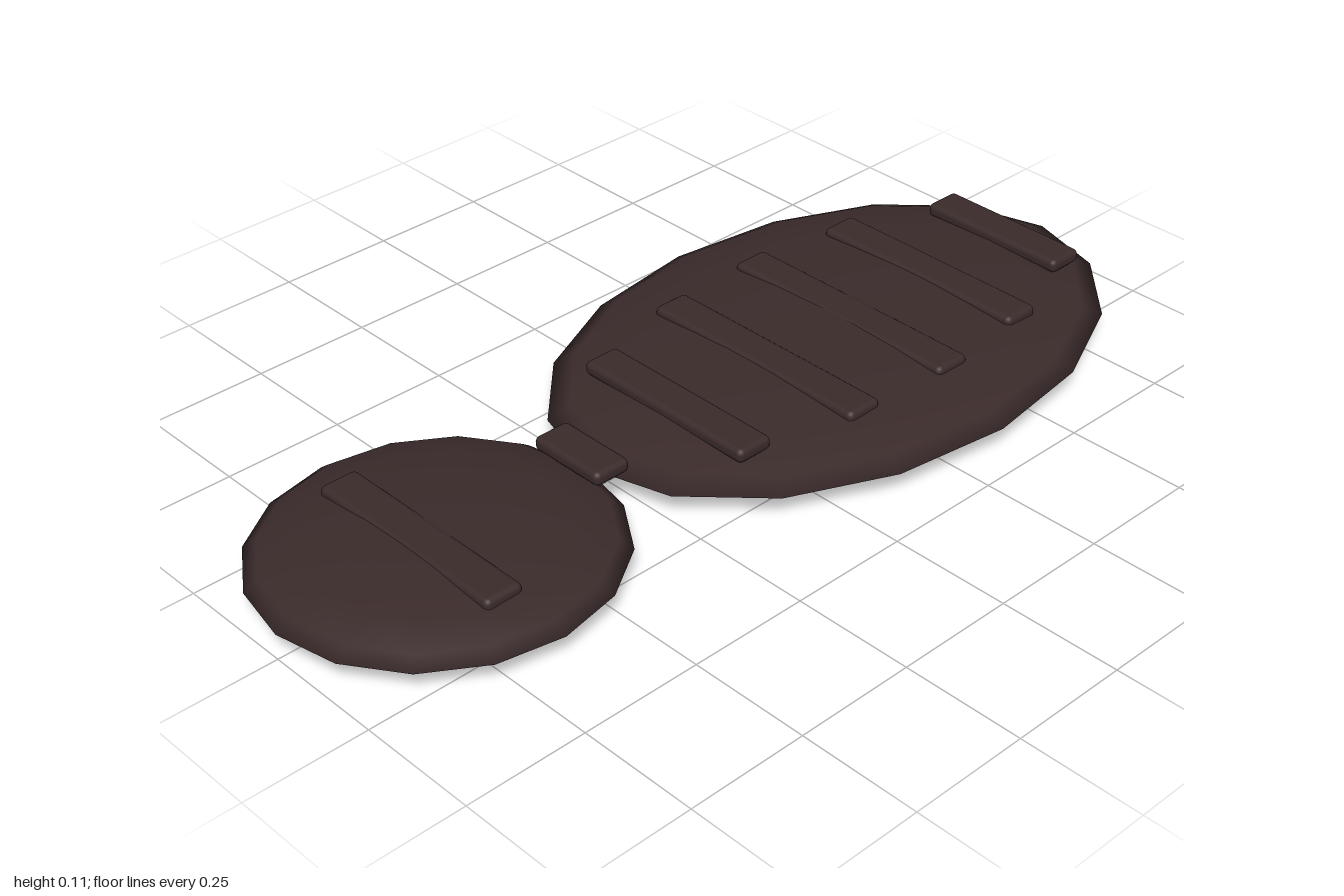
import * as THREE from 'three';
import { RoundedBoxGeometry } from 'three/addons/geometries/RoundedBoxGeometry.js';

export function createModel() {
  const model = new THREE.Group();
  model.name = 'shoeSole';

  const rubber = new THREE.MeshStandardMaterial({ color: 0x3b2b2b });
  rubber.name = 'darkBrownRubber';

  const midY = 0.0525;

  // Flattened pads: [name, z centre, x radius, z radius]
  const pads = [
    ['forefootPad', -0.351, 0.445, 0.649],
    ['heelPad', 0.65, 0.342, 0.349],
  ];
  for (const [name, z, rx, rz] of pads) {
    const geometry = new THREE.SphereGeometry(1, 16, 8).scale(rx, 0.0525, rz);
    const pad = new THREE.Mesh(geometry, rubber);
    pad.name = name;
    pad.position.set(0, midY, z);
    model.add(pad);
  }

  // Raised tread bars: [name, z centre, width]
  const bars = [
    ['treadBar1', -0.865, 0.346],
    ['treadBar2', -0.63, 0.506],
    ['treadBar3', -0.395, 0.56],
    ['treadBar4', -0.16, 0.538],
    ['treadBar5', 0.075, 0.43],
    ['archBridge', 0.312, 0.176],
    ['heelBar', 0.69, 0.47],
  ];
  for (const [name, z, width] of bars) {
    const bar = new THREE.Mesh(new RoundedBoxGeometry(width, 0.03, 0.082, 2, 0.012), rubber);
    bar.name = name;
    bar.position.set(0, 0.0915, z);
    model.add(bar);
  }

  return model;
}
